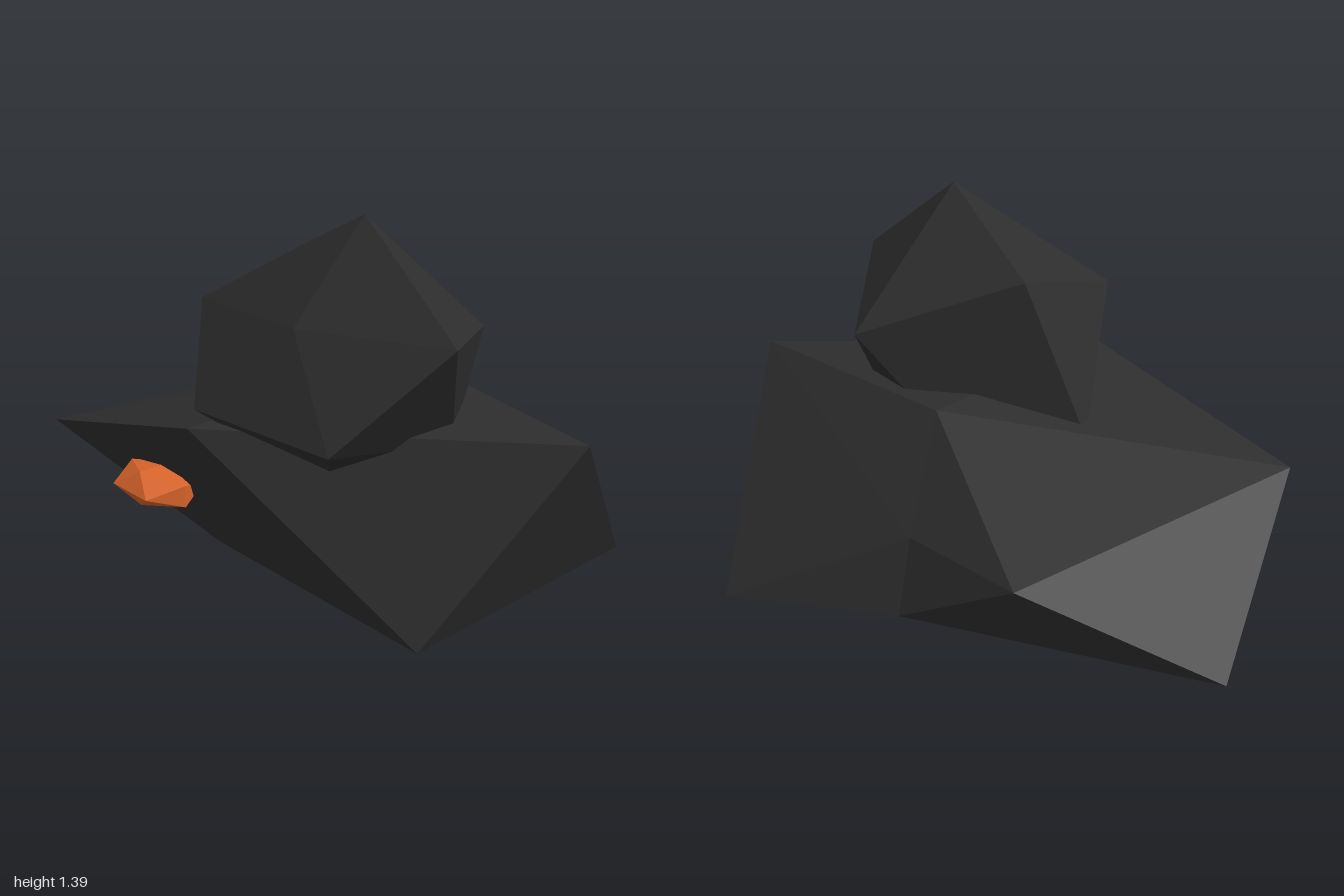
import * as THREE from 'three';

// Irregular twenty-sided stone: a top point, an upper ring, a lower ring and a bottom point.
// Rings run clockwise seen from above; lower[i] lies opposite upper[i].
function stoneGeometry(top, upper, lower, bottom) {
  const corners = [];
  const face = (a, b, c) => corners.push(...a, ...b, ...c);
  for (let i = 0; i < 5; i++) {
    const u = upper[i], uNext = upper[(i + 1) % 5];
    const l = lower[(i + 3) % 5], lPrev = lower[(i + 2) % 5];
    face(top, uNext, u);
    face(u, uNext, l);
    face(u, l, lPrev);
    face(bottom, lower[i], lower[(i + 1) % 5]);
  }
  const g = new THREE.BufferGeometry();
  g.setAttribute('position', new THREE.Float32BufferAttribute(corners, 3));
  g.computeVertexNormals();
  return g;
}

export function createModel() {
  const model = new THREE.Group();
  const darkStone = new THREE.MeshStandardMaterial({ color: 0x2d2d2d, flatShading: true });
  darkStone.name = 'darkStone';
  const orange = new THREE.MeshStandardMaterial({ color: 0xd9642a, flatShading: true });
  orange.name = 'orange';

  const add = (name, geometry, material) => {
    const mesh = new THREE.Mesh(geometry, material);
    mesh.name = name;
    model.add(mesh);
    return mesh;
  };

  // Wide, tilted lower boulder
  add('lowerBoulder', stoneGeometry(
    [0.14, 0.8, -0.2],
    [[-0.48, 0.57, -0.59], [0, 0.52, -0.5], [1, 0.76, -0.11], [0.09, 0.74, 0.65], [-0.73, 0.52, 0.62]],
    [[0.73, 0.12, 0.3], [0.02, 0.29, 0.49], [-1, 0.25, -0.22], [-0.04, 0.3, -0.61], [0.67, 0.12, -0.71]],
    [0.1, 0, -0.01],
  ), darkStone);

  // Rounder boulder sunk into the top
  add('upperBoulder', stoneGeometry(
    [0.42, 1.39, 0.24],
    [[-0.06, 1.08, 0.47], [-0.02, 1.2, 0.06], [0.48, 0.975, -0.21], [0.81, 1.08, 0.25], [0.36, 1.08, 0.46]],
    [[0.56, 0.66, 0], [0.58, 0.76, 0.52], [0.1, 0.8, 0.63], [-0.19, 0.64, 0.18], [0.24, 0.66, -0.08]],
    [0.21, 0.45, 0.18],
  ), darkStone);

  // Flattened pebble set into the front face
  const pebble = new THREE.IcosahedronGeometry(1, 0);
  pebble.rotateZ(Math.PI / 2).scale(0.172, 0.068, 0.13);
  add('frontPebble', pebble, orange).position.set(-0.15, 0.47, 0.6);

  return model;
}
